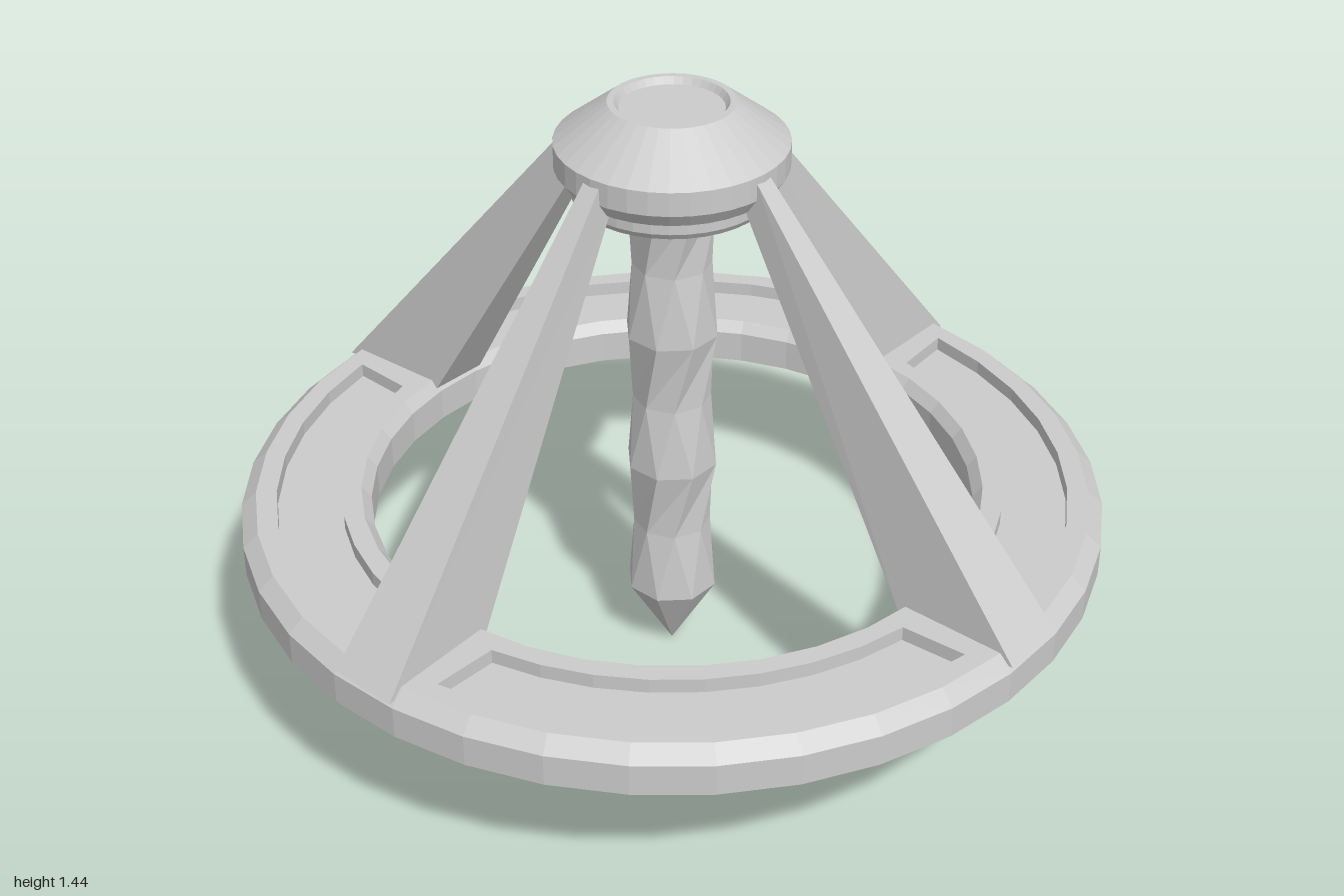
import * as THREE from 'three';

const SEGMENTS = 36;
const TWIST = THREE.MathUtils.degToRad(1.4); // legs sit slightly off the axes
const HALF = Math.PI / SEGMENTS;
const mat = new THREE.MeshStandardMaterial({ color: 0xcccccc, flatShading: true, side: THREE.DoubleSide });

function part(geometry, name, parent) {
  const mesh = new THREE.Mesh(geometry, mat);
  mesh.name = name;
  parent.add(mesh);
  return mesh;
}

function lathe(points, start = 0) {
  return new THREE.LatheGeometry(points.map(([r, y]) => new THREE.Vector2(r, y)), SEGMENTS, start);
}

// Points on an arc, angle measured from the front (+z) towards +x
function arc(r, from, to, steps) {
  return Array.from({ length: steps + 1 }, (_, i) => {
    const a = from + (to - from) * i / steps;
    return new THREE.Vector2(r * Math.sin(a), -r * Math.cos(a));
  });
}

function circle(r) {
  return arc(r, TWIST + HALF, TWIST + HALF + Math.PI * 2, SEGMENTS).slice(0, -1);
}

// Outline of one sunken panel between two legs
function panelOutline(k) {
  const mid = TWIST + Math.PI / 4 + k * Math.PI / 2;
  const outer = THREE.MathUtils.degToRad(36.8), inner = THREE.MathUtils.degToRad(34.6);
  return [...arc(0.92, mid - outer, mid + outer, 8), ...arc(0.77, mid + inner, mid - inner, 8)];
}

// Hollow ring: two thin walls and a plate with four sunken panels
function buildRing() {
  const ring = new THREE.Group();
  ring.name = 'baseRing';
  const start = TWIST + HALF;
  part(lathe([[1.003, 0.38], [1.003, 0.455], [0.968, 0.487]], start), 'outerWall', ring);
  part(lathe([[0.725, 0.487], [0.703, 0.46], [0.703, 0.38]], start), 'innerWall', ring);

  const plate = new THREE.Shape(circle(0.968));
  plate.holes.push(new THREE.Path(circle(0.725)));
  for (let k = 0; k < 4; k++) plate.holes.push(new THREE.Path(panelOutline(k)));
  const top = new THREE.ExtrudeGeometry(plate, { depth: 0.035, bevelEnabled: false });
  top.rotateX(-Math.PI / 2).translate(0, 0.452, 0);
  part(top, 'topPlate', ring);

  for (let k = 0; k < 4; k++) {
    const floor = new THREE.ShapeGeometry(new THREE.Shape(panelOutline(k)));
    floor.rotateX(-Math.PI / 2).translate(0, 0.453, 0);
    part(floor, 'panelFloor', ring);
  }
  return ring;
}

// Tapered sloping leg: a box whose corners are moved to four cross edges
function legGeometry() {
  const geo = new THREE.BoxGeometry(1, 1, 1);
  const p = geo.attributes.position;
  const edges = { // [left x, right x, y, z]
    bottomOuter: [-0.057, 0.107, 0.465, 1.0],
    bottomInner: [-0.06, 0.09, 0.47, 0.703],
    topOuter: [-0.022, 0.022, 1.335, 0.255],
    topInner: [-0.022, 0.022, 1.27, 0.22],
  };
  for (let i = 0; i < p.count; i++) {
    const e = edges[(p.getY(i) > 0 ? 'top' : 'bottom') + (p.getZ(i) > 0 ? 'Outer' : 'Inner')];
    p.setXYZ(i, p.getX(i) < 0 ? e[0] : e[1], e[2], e[3]);
  }
  geo.computeVertexNormals();
  return geo;
}

// Eight-sided column with alternating rings turned and narrowed, ending in a point
function buildSpike() {
  const spike = new THREE.Group();
  spike.name = 'centreSpike';
  const rings = 6, base = 0.185, step = 0.173;
  const geo = new THREE.CylinderGeometry(1, 1, rings, 8, rings, true);
  const p = geo.attributes.position;
  for (let i = 0; i < p.count; i++) {
    const k = Math.round(p.getY(i) + rings / 2);
    const odd = k % 2 === 1;
    const a = Math.atan2(p.getX(i), p.getZ(i)) + (odd ? 0 : Math.PI / 8);
    const r = odd ? 0.09 : 0.108;
    p.setXYZ(i, r * Math.sin(a), base + k * step, r * Math.cos(a));
  }
  geo.computeVertexNormals();
  part(geo, 'zigzagShaft', spike);

  const tip = new THREE.CylinderGeometry(0.108, 0, base, 8, 1, true, Math.PI / 8);
  tip.translate(0, base / 2, 0);
  part(tip, 'spikeTip', spike);
  return spike;
}

export function createModel() {
  const model = new THREE.Group();
  model.name = 'ringStand';
  model.add(buildRing());

  const leg = legGeometry();
  for (let k = 0; k < 4; k++) part(leg, 'leg', model).rotation.y = k * Math.PI / 2;

  // Cap with a shallow dish on top and a stepped collar below
  part(lathe([
    [0, 1.22], [0.215, 1.22], [0.225, 1.235], [0.225, 1.26], [0.235, 1.262],
    [0.258, 1.295], [0.258, 1.35], [0.14, 1.44], [0.125, 1.44], [0.115, 1.425], [0, 1.425],
  ]), 'cap', model);

  model.add(buildSpike());
  return model;
}
